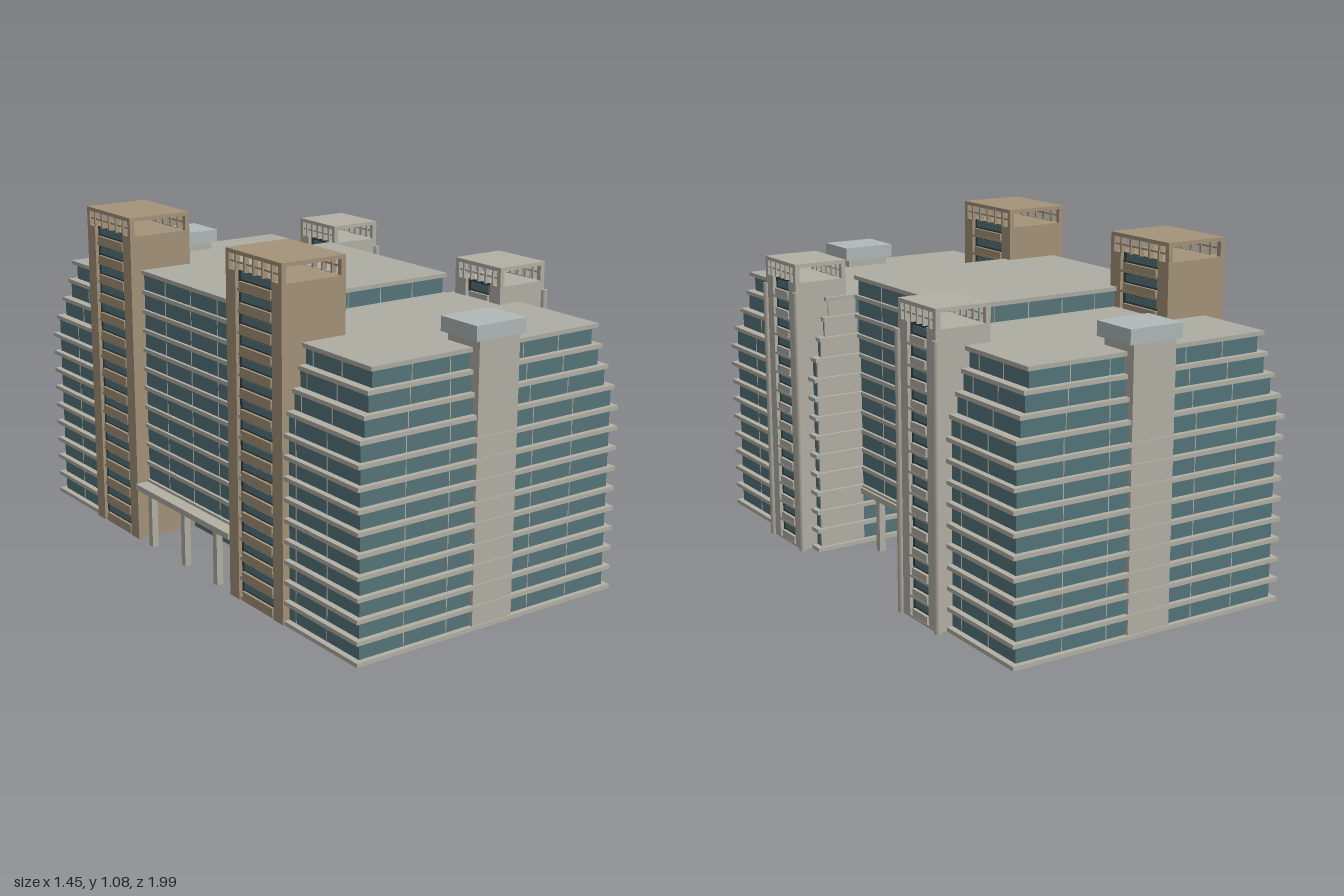
import * as THREE from 'three';

const mat = (color) => new THREE.MeshStandardMaterial({ color, roughness: 0.9 });
const STONE = mat(0xb3b0a5), GLASS = mat(0x55757a), BROWN = mat(0xa5937a);
const CAP = mat(0xb0b9b9), DARK = mat(0x3b4647), ROOF = mat(0xaeada3);
const PITCH = 0.064, SLAB = 0.013;

// Box given by its limits along x, y and z
function box(parent, name, material, x0, x1, y0, y1, z0, z1) {
  const m = new THREE.Mesh(new THREE.BoxGeometry(x1 - x0, y1 - y0, z1 - z0), material);
  m.position.set((x0 + x1) / 2, (y0 + y1) / 2, (z0 + z1) / 2);
  m.name = name;
  parent.add(m);
  return m;
}

function group(parent, name) {
  const g = new THREE.Group();
  g.name = name;
  parent.add(g);
  return g;
}

// One storey of glass with slim mullions on all four faces
function glassStorey(parent, x0, x1, y0, y1, z0, z1) {
  box(parent, 'glassStorey', GLASS, x0, x1, y0, y1, z0, z1);
  const e = 0.0015, w = 0.0015;
  for (let i = 1; i < 6; i++) {
    const x = x0 + ((x1 - x0) * i) / 6;
    box(parent, 'mullion', STONE, x - w, x + w, y0, y1, z0 - e, z1 + e);
  }
  for (let i = 1; i < 4; i++) {
    const z = z0 + ((z1 - z0) * i) / 4;
    box(parent, 'mullion', STONE, x0 - e, x1 + e, y0, y1, z - w, z + w);
  }
}

// Wing: thirteen storeys, the top three stepping back
function wing(root, name, x0, x1, z0, z1, inner) {
  const g = group(root, name);
  const steps = (k) => Math.max(0, k - 9);
  const insetX = (k) => 0.019 + 0.02 * steps(k);
  const insetZ = (k) => 0.016 + 0.01 * steps(k);
  for (let k = 0; k <= 13; k++) {
    const y = k * PITCH;
    const over = k === 13 ? 0.014 : 0.008;
    const dx = k < 10 ? 0 : insetX(k - 1) - over;
    const dz = k < 10 ? 0 : insetZ(k - 1) - over;
    box(g, k === 13 ? 'roof' : 'floorSlab', k === 13 ? ROOF : STONE,
      x0 + dx, x1 - dx, y, y + SLAB, z0 + dz, z1 - dz);
    if (k === 13) break;
    const ix = insetX(k), iz = insetZ(k);
    glassStorey(g, x0 + ix, x1 - ix, y + SLAB, y + PITCH, z0 + iz, z1 - iz);
    // solid wall on the inner face beside the link
    const zw = inner > 0 ? z1 - iz : z0 + iz;
    box(g, 'innerWall', STONE, 0.3, x1 - ix + 0.002, y + SLAB, y + PITCH, zw - 0.004, zw + 0.004);
  }
}

// Open crown: corner posts, a roof plate and barred panels on the two x faces
function crown(g, material, x0, x1, z0, z1, y0, y1) {
  const p = 0.016;
  box(g, 'crownRoof', material, x0, x1, y1 - 0.012, y1, z0, z1);
  for (const x of [x0, x1 - p]) {
    for (let i = 0; i <= 6; i++) {
      const w = i % 6 === 0 ? p : 0.007;
      const z = z0 + ((z1 - z0 - w) * i) / 6;
      box(g, 'crownPost', material, x, x + p, y0, y1 - 0.012, z, z + w);
    }
    const ym = (y0 + y1) / 2 - 0.008;
    box(g, 'crownRail', material, x + 0.004, x + p - 0.004, ym, ym + 0.006, z0, z1);
  }
}

// Service tower with recessed windows stacked on its x faces
function tower(root, name, material, x0, x1, z0, z1, bodyTop, top) {
  const g = group(root, name);
  const r = 0.014, side = 0.05;
  box(g, 'towerCore', material, x0 + r, x1 - r, 0, bodyTop, z0, z1);
  for (const [a, b, glassX] of [[x0, x0 + r, x0 + r], [x1 - r, x1, x1 - r]]) {
    box(g, 'towerPier', material, a, b, 0, bodyTop, z0, z0 + side);
    box(g, 'towerPier', material, a, b, 0, bodyTop, z1 - side, z1);
    box(g, 'darkRecess', DARK, glassX - 0.002, glassX + 0.002, 0, bodyTop, z0 + side, z1 - side);
    for (let y = 0; y + 0.03 < bodyTop; y += PITCH) {
      box(g, 'spandrel', material, a + 0.003, b - 0.001, y, y + 0.03, z0 + side + 0.012, z1 - side - 0.012);
      box(g, 'windowSill', material, a + 0.006, b, y, y + 0.008, z0 + side, z1 - side);
      box(g, 'window', GLASS, glassX - 0.004, glassX + 0.004, y + 0.036, Math.min(y + 0.058, bodyTop),
        z0 + side + 0.015, z1 - side - 0.015);
    }
  }
  crown(g, material, x0, x1, z0, z1, bodyTop, top);
  return g;
}

function roundColumn(parent, name, x, z, r, h) {
  const m = new THREE.Mesh(new THREE.CylinderGeometry(r, r, h, 12), STONE);
  m.position.set(x, h / 2, z);
  m.name = name;
  parent.add(m);
}

export function createModel() {
  const model = new THREE.Group();
  model.name = 'officeBuilding';
  const site = group(model, 'turnedBuilding');
  site.rotation.y = -0.2923;

  wing(site, 'frontWing', -0.496, 0.478, 0.254, 0.89, -1);
  wing(site, 'backWing', -0.488, 0.483, -0.898, -0.315, 1);

  // Link between the wings, raised over a passage
  const link = group(site, 'linkBlock');
  const lx0 = -0.46, lx1 = 0.31, lz0 = -0.345, lz1 = 0.285;
  for (let k = 3; k <= 14; k++) {
    const y = k * PITCH;
    box(link, k === 14 ? 'linkRoof' : 'linkSlab', k === 14 ? ROOF : STONE,
      lx0, lx1, y, y + SLAB, lz0, lz1);
    if (k < 14) glassStorey(link, lx0 + 0.01, lx1 - 0.01, y + SLAB, y + PITCH, lz0 + 0.01, lz1 - 0.01);
  }
  box(link, 'canopy', STONE, -0.505, 0.318, 0.178, 0.197, -0.31, 0.25);
  for (const x of [-0.485, 0.295]) {
    for (const z of [-0.235, -0.03, 0.16]) {
      box(link, 'passageColumn', STONE, x - 0.011, x + 0.011, 0, 0.18, z - 0.011, z + 0.011);
    }
  }

  // Low glazed lobby in the passage
  const lobby = group(site, 'lobby');
  for (let k = 0; k < 2; k++) {
    box(lobby, 'lobbyGlass', GLASS, -0.28, 0, k * PITCH, (k + 1) * PITCH, -0.32, 0.26);
    box(lobby, 'lobbySlab', STONE, -0.288, 0.008, (k + 1) * PITCH - 0.004, (k + 1) * PITCH + 0.006, -0.32, 0.26);
  }

  // Brown towers
  tower(site, 'frontBrownTower', BROWN, -0.5, -0.278, 0.252, 0.537, 1.02, 1.08);
  tower(site, 'backBrownTower', BROWN, -0.497, -0.278, -0.596, -0.313, 1.02, 1.08);

  // Pale towers with slim round corner columns
  for (const [name, z0, z1] of [['frontPaleTower', 0.3, 0.512], ['backPaleTower', -0.556, -0.35]]) {
    const g = tower(site, name, STONE, 0.332, 0.515, z0, z1, 0.9, 0.96);
    roundColumn(g, 'cornerColumn', 0.515, z0, 0.011, 0.87);
    roundColumn(g, 'cornerColumn', 0.515, z1, 0.011, 0.87);
  }

  // Solid bays on the outer faces, each with a projecting cap
  const bays = [['frontBay', 0, 0.75, 0.886, 0.737, 0.892], ['backBay', 0.008, -0.894, -0.76, -0.9, -0.746]];
  for (const [name, x, z0, z1, c0, c1] of bays) {
    const g = group(site, name);
    box(g, 'bayWall', STONE, x - 0.075, x + 0.075, 0, 0.872, z0, z1);
    box(g, 'bayCap', CAP, x - 0.092, x + 0.092, 0.87, 0.915, c0, c1);
  }
  return model;
}
